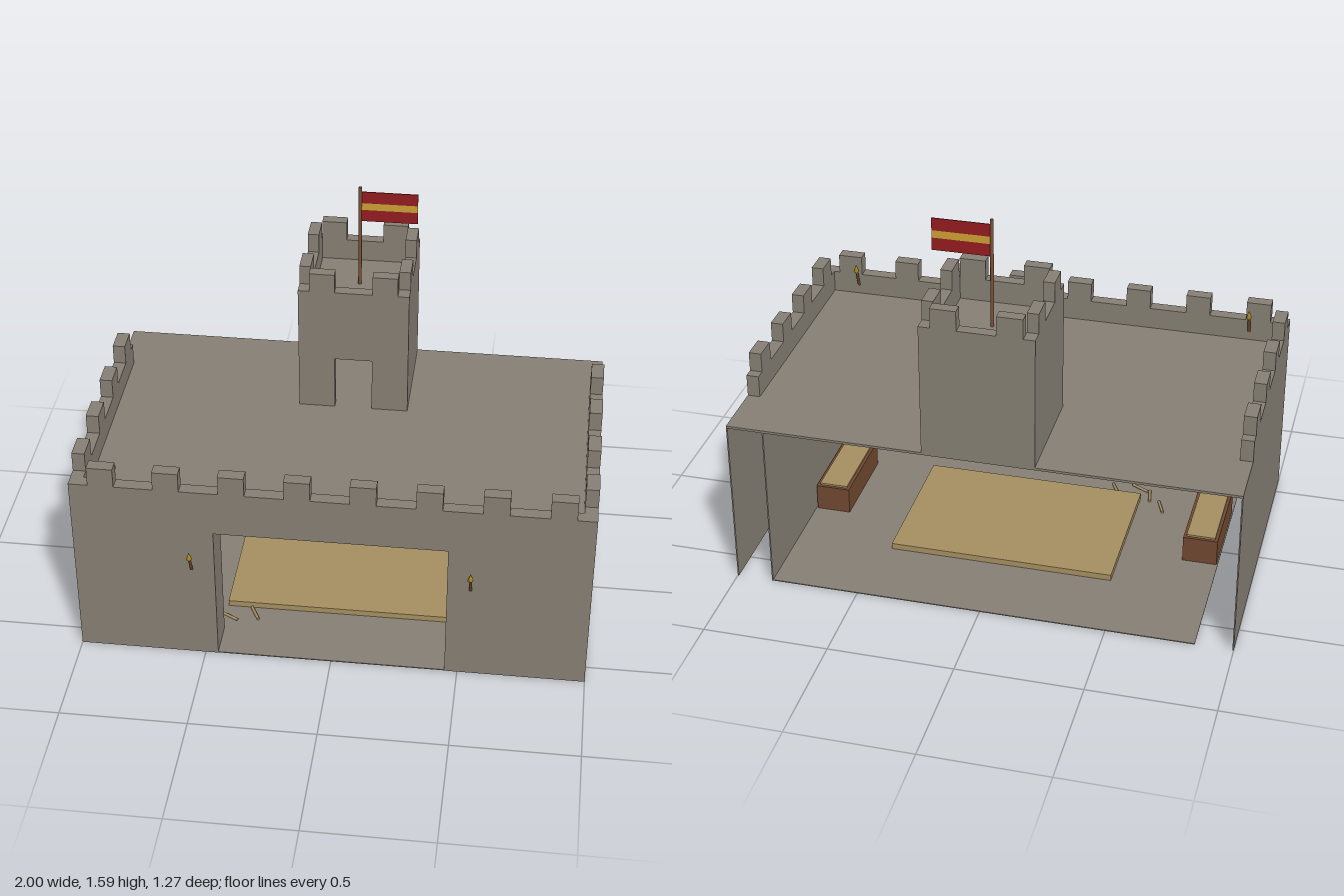
import * as THREE from 'three';

const mat = (name, color, side = THREE.FrontSide) => {
  const m = new THREE.MeshStandardMaterial({ color, side });
  m.name = name;
  return m;
};

export function createModel() {
  const stone = mat('stone', 0x857e73, THREE.DoubleSide);
  const straw = mat('straw', 0xa48e60);
  const wood = mat('wood', 0x6f4830);
  const poleWood = mat('pole wood', 0x7a5238);
  const red = mat('red', 0x921b1f);
  const gold = mat('gold', 0xcb9e34);
  const flame = mat('flame', 0xb08c20);

  const root = new THREE.Group();
  root.name = 'castle';
  const group = (name) => {
    const g = new THREE.Group();
    g.name = name;
    root.add(g);
    return g;
  };
  const add = (parent, name, geometry, material) => {
    const m = new THREE.Mesh(geometry, material);
    m.name = name;
    parent.add(m);
    return m;
  };
  // Box given by its limits on each axis
  const box = (parent, name, material, x0, x1, y0, y1, z0, z1) => {
    const m = add(parent, name, new THREE.BoxGeometry(x1 - x0, y1 - y0, z1 - z0), material);
    m.position.set((x0 + x1) / 2, (y0 + y1) / 2, (z0 + z1) / 2);
    return m;
  };
  // Upright wall across x with a doorway notch; z is its front face
  const doorWall = (parent, name, x0, x1, y0, y1, half, doorTop, z, depth) => {
    const s = new THREE.Shape([
      [x0, y0], [-half, y0], [-half, doorTop], [half, doorTop],
      [half, y0], [x1, y0], [x1, y1], [x0, y1],
    ].map(([x, y]) => new THREE.Vector2(x, y)));
    const g = new THREE.ExtrudeGeometry(s, { depth, bevelEnabled: false });
    add(parent, name, g, stone).position.z = z - depth;
  };
  // Round stick between two points
  const stick = (parent, name, a, b, r, material) => {
    const p = new THREE.Vector3(...a), q = new THREE.Vector3(...b);
    const d = q.clone().sub(p);
    const m = add(parent, name, new THREE.CylinderGeometry(r, r, d.length(), 8), material);
    m.position.copy(p).add(q).multiplyScalar(0.5);
    m.quaternion.setFromUnitVectors(new THREE.Vector3(0, 1, 0), d.normalize());
  };

  // Thin-shelled hall, open at the back
  const T = 0.005, F = 0.585, B = -0.633, IN = 0.435;
  const hall = group('hall');
  box(hall, 'leftWall', stone, 1 - T, 1, 0, 0.7, B, F);
  box(hall, 'rightWall', stone, -1, -1 + T, 0, 0.7, B, F);
  box(hall, 'innerLeftWall', stone, 0.85, 0.85 + T, 0, 0.69, B, IN);
  doorWall(hall, 'frontWall', -1, 1, 0, 0.7, 0.45, 0.6, F, T);
  doorWall(hall, 'innerFrontWall', -1 + T, 0.85, 0, 0.69, 0.45, 0.6, IN + T, T);
  for (const s of [-1, 1]) {
    const c = s * (0.45 + T / 2);
    box(hall, 'doorJamb', stone, c - T / 2, c + T / 2, 0, 0.6, IN, F);
  }
  box(hall, 'doorLintel', stone, -0.45, 0.45, 0.6, 0.6 + T, IN, F);
  box(hall, 'roof', stone, -1, 1, 0.69, 0.7, B, F);
  box(hall, 'floor', stone, -0.85, 0.85, 0.001, T, B, IN);
  box(hall, 'doorFloor', stone, -0.45, 0.45, 0.001, T, IN, F);

  // Parapet with battlements
  const parapet = group('parapet');
  const P = F - 0.05;
  box(parapet, 'frontParapet', stone, -1, 1, 0.7, 0.79, P, F);
  for (const s of [-1, 1]) {
    const x0 = s > 0 ? 0.95 : -1;
    box(parapet, 'sideParapet', stone, x0, x0 + 0.05, 0.7, 0.79, -0.393, P);
    for (let i = 0; i < 4; i++) {
      const x = s * (0.125 + i * 0.25), z = 0.447 - i * 0.25;
      box(parapet, 'frontMerlon', stone, x - 0.05, x + 0.05, 0.79, 0.87, P, F);
      box(parapet, 'sideMerlon', stone, x0, x0 + 0.05, 0.79, 0.87, z - 0.05, z + 0.05);
    }
  }

  // Hollow tower with a doorway and its own battlements
  const tower = group('tower');
  const W = 0.045, zMid = -0.404;
  doorWall(tower, 'towerFront', -0.22, 0.22, 0.7, 1.24, 0.075, 0.93, -0.175, W);
  box(tower, 'towerBack', stone, -0.22, 0.22, 0.7, 1.24, B, B + W);
  box(tower, 'towerDeck', stone, -0.175, 0.175, 1.13, 1.15, B + W, -0.22);
  for (const s of [-1, 1]) {
    const x0 = s > 0 ? 0.175 : -0.22;
    box(tower, 'towerSide', stone, x0, x0 + W, 0.7, 1.24, B + W, -0.22);
    const z = zMid + s * 0.125, zEdge = s > 0 ? -0.22 : B;
    for (const t of [-1, 1]) {
      const x = t * 0.125, xEdge = t > 0 ? 0.175 : -0.22;
      box(tower, 'towerMerlon', stone, x - 0.05, x + 0.05, 1.24, 1.32, zEdge, zEdge + W);
      box(tower, 'towerSideMerlon', stone, xEdge, xEdge + W, 1.24, 1.32, z - 0.05, z + 0.05);
    }
  }

  // Striped flag on a pole
  const flag = group('flag');
  stick(flag, 'flagPole', [0, 1.15, -0.404], [0, 1.59, -0.404], 0.007, poleWood);
  [[1.44, 1.49, red], [1.49, 1.52, gold], [1.52, 1.57, red]].forEach(([y0, y1, m]) =>
    box(flag, 'flagStripe', m, 0.004, 0.228, y0, y1, -0.406, -0.402));

  // Torches on the front wall and behind the parapet
  const flameProfile = [[0, -0.02], [0.012, -0.006], [0.005, 0.012], [0, 0.025]]
    .map(([x, y]) => new THREE.Vector2(x, y));
  const torch = (x, y, z, dz) => {
    const g = group('torch');
    stick(g, 'torchHandle', [x, y, z], [x, y + 0.085, z + dz], 0.006, wood);
    add(g, 'torchFlame', new THREE.LatheGeometry(flameProfile, 6), flame)
      .position.set(x, y + 0.085, z + dz);
  };
  for (const s of [-1, 1]) {
    torch(s * 0.54, 0.42, F, 0.038);
    torch(s * 0.84, 0.74, P, -0.03);
  }

  // Straw mat, benches and loose sticks inside
  const inside = group('furnishings');
  box(inside, 'strawMat', straw, -0.455, 0.455, 0, 0.03, -0.31, 0.3);
  for (const s of [-1, 1]) {
    const x = s * 0.775;
    box(inside, 'bench', wood, x - 0.07, x + 0.07, 0, 0.115, -0.1, 0.29);
    box(inside, 'benchCushion', straw, x - 0.058, x + 0.058, 0.115, 0.123, -0.088, 0.278);
  }
  [[-0.55, 0.25, 1.2], [-0.49, 0.32, 1.4], [-0.44, 0.37, 0.5], [-0.34, 0.34, 1.1]].forEach(([x, z, a]) => {
    const dx = Math.cos(a) * 0.04, dz = Math.sin(a) * 0.04;
    stick(inside, 'looseStick', [x - dx, 0.01, z - dz], [x + dx, 0.01, z + dz], 0.006, straw);
  });

  return root;
}
